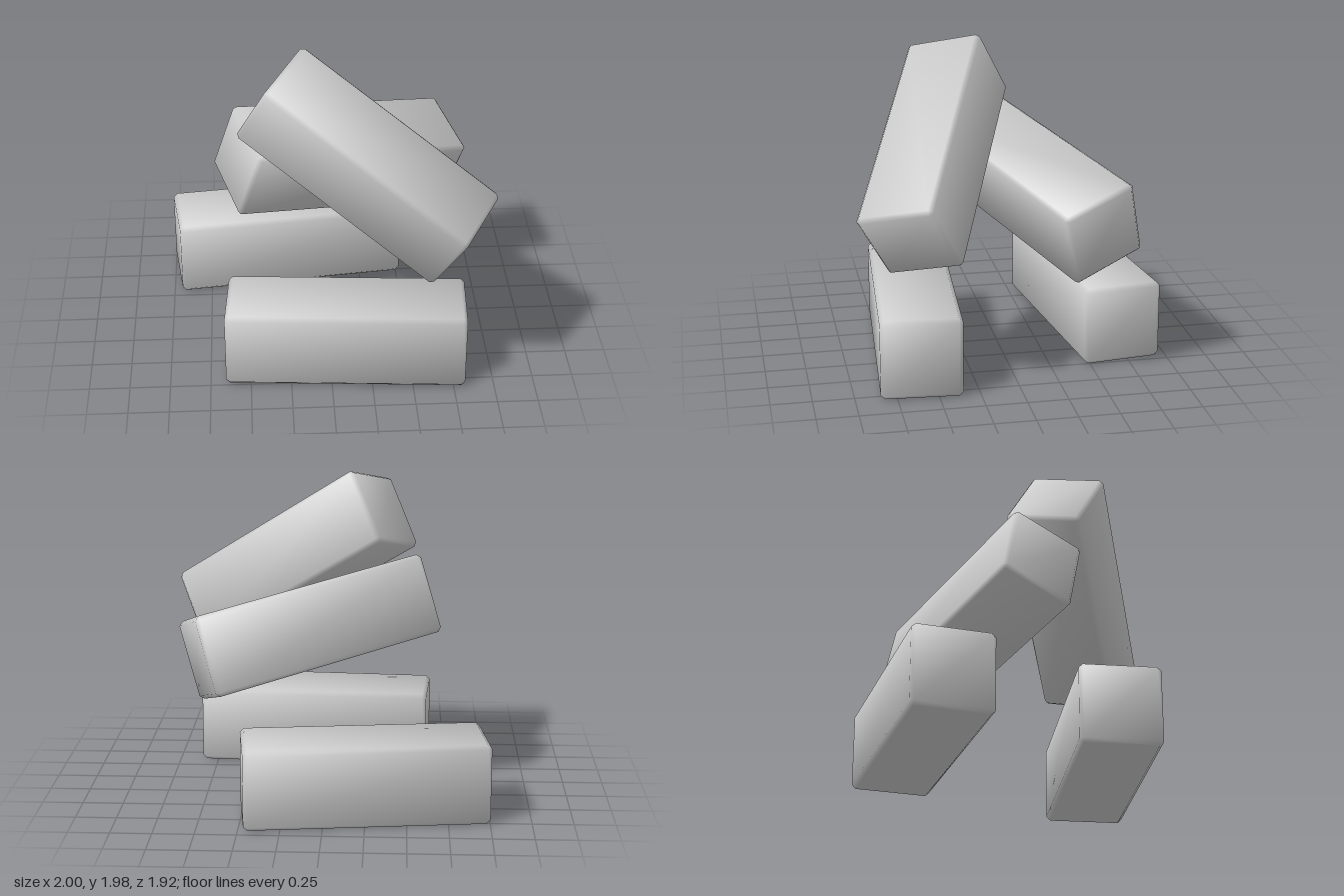
import * as THREE from 'three';
import { ConvexGeometry } from 'three/addons/geometries/ConvexGeometry.js';

const HALF = [0.74, 0.2475, 0.2475]; // half length, height, depth
const BEVEL = 0.025;

// Box with chamfered edges and corners; normals lean outwards near the edges
function chamferedBlock() {
  const points = [];
  for (const sx of [-1, 1]) for (const sy of [-1, 1]) for (const sz of [-1, 1]) {
    for (let face = 0; face < 3; face++) {
      const p = [sx, sy, sz].map((s, i) => s * (HALF[i] - (i === face ? 0 : BEVEL)));
      points.push(new THREE.Vector3(...p));
    }
  }
  const geometry = new ConvexGeometry(points);
  const pos = geometry.attributes.position;
  const normal = new THREE.Vector3();
  for (let i = 0; i < pos.count; i++) {
    const n = HALF.map((h, axis) => {
      const c = pos.getComponent(i, axis);
      return Math.sign(c) * (Math.abs(c) > h - BEVEL / 2 ? 2.99 : 1.28);
    });
    normal.set(...n).normalize();
    geometry.attributes.normal.setXYZ(i, normal.x, normal.y, normal.z);
  }
  return geometry;
}

export function createModel() {
  const group = new THREE.Group();
  group.name = 'blockPile';
  const geometry = chamferedBlock();
  const material = new THREE.MeshStandardMaterial({ color: 0xcccccc });

  // Each block: name, centre, direction of its length, direction of its top
  const blocks = [
    ['backBaseBlock', [-0.24, 0.2475, -0.622], [0.9925, 0, -0.122], [0, 1, 0]],
    ['frontBaseBlock', [0.098, 0.2475, 0.553], [0.9977, 0, 0.068], [0, 1, 0]],
    ['middleTiltedBlock', [0.103, 1.07, -0.225], [0.9, -0.185, -0.392], [0.3, 0.931, 0.203]],
    ['topTiltedBlock', [0.2275, 1.352, 0.422], [0.783, -0.529, 0.328], [0.358, 0.825, 0.435]],
  ];
  for (const [name, centre, along, up] of blocks) {
    const u = new THREE.Vector3(...along).normalize();
    const w = u.clone().cross(new THREE.Vector3(...up)).normalize();
    const v = w.clone().cross(u);
    const mesh = new THREE.Mesh(geometry, material);
    mesh.name = name;
    mesh.quaternion.setFromRotationMatrix(new THREE.Matrix4().makeBasis(u, v, w));
    mesh.position.set(...centre);
    group.add(mesh);
  }
  return group;
}
